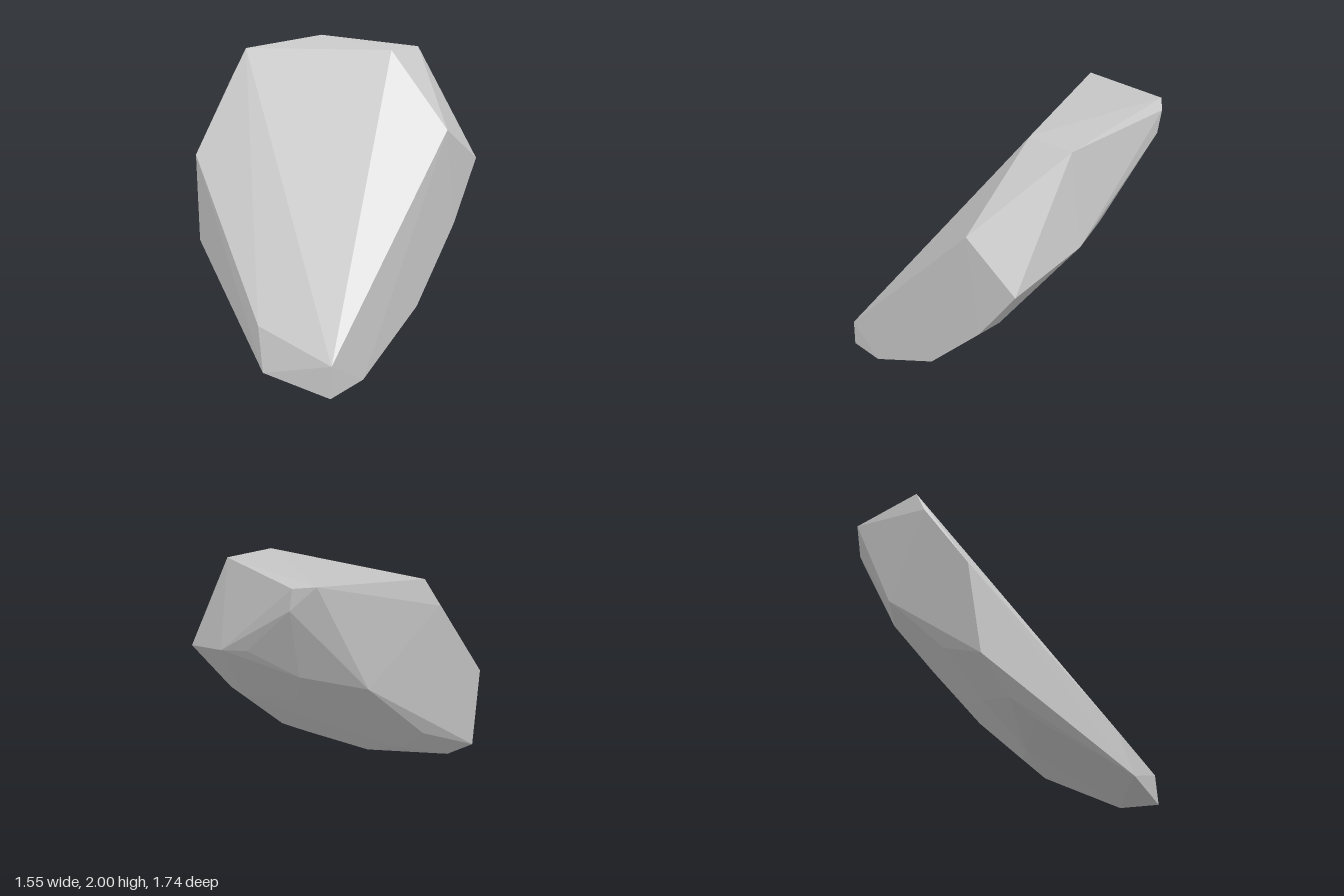
import * as THREE from 'three';
import { ConvexGeometry } from 'three/addons/geometries/ConvexGeometry.js';

// Corner points of the boulder, grouped by the facet they bound
const frontFace = [
  [-0.73, 1.93, -0.10], [0.275, 1.94, -0.46], [0.76, 1.45, -0.41],
  [0.75, 0.20, 0.79], [0.20, 0.33, 0.82], [-0.78, 1.22, 0.37],
];
const foot = [
  [0.28, 0.06, 0.87], [0.75, 0, 0.80], [0.47, 0.025, 0.70], [0.775, 0.03, 0.51],
];
const crown = [
  [-0.58, 2.00, -0.77], [-0.47, 1.98, -0.855], [0.28, 1.95, -0.78], [-0.44, 1.84, -0.855],
];
const leftAndRightRims = [
  [0.76, 1.21, -0.80], [0.77, 0.80, -0.51], [0.775, 0.34, -0.07],
  [-0.765, 1.75, 0], [-0.71, 0.63, 0.42], [-0.60, 1.27, -0.41], [-0.60, 0.80, 0.06],
];
const underside = [
  [0.28, 1.36, -0.87], [0.05, 1.42, -0.83], [0.60, 0.80, -0.52],
  [0.42, 0.68, -0.33], [0.48, 0.40, -0.07], [-0.46, 0.43, 0.45], [-0.28, 0.33, 0.52],
  [-0.25, 1.30, -0.66], [0, 1.00, -0.50], [0, 0.67, -0.17],
  [0.10, 0.31, 0.20], [-0.30, 0.53, 0.15],
];

export function createModel() {
  const group = new THREE.Group();
  group.name = 'rock';

  const stone = new THREE.MeshStandardMaterial({ color: 0xc8c8c8 });
  stone.name = 'light grey stone';

  // One faceted, leaning boulder
  const points = [...frontFace, ...foot, ...crown, ...leftAndRightRims, ...underside]
    .map((p) => new THREE.Vector3(...p));
  const boulder = new THREE.Mesh(new ConvexGeometry(points), stone);
  boulder.name = 'boulder';
  group.add(boulder);
  return group;
}
